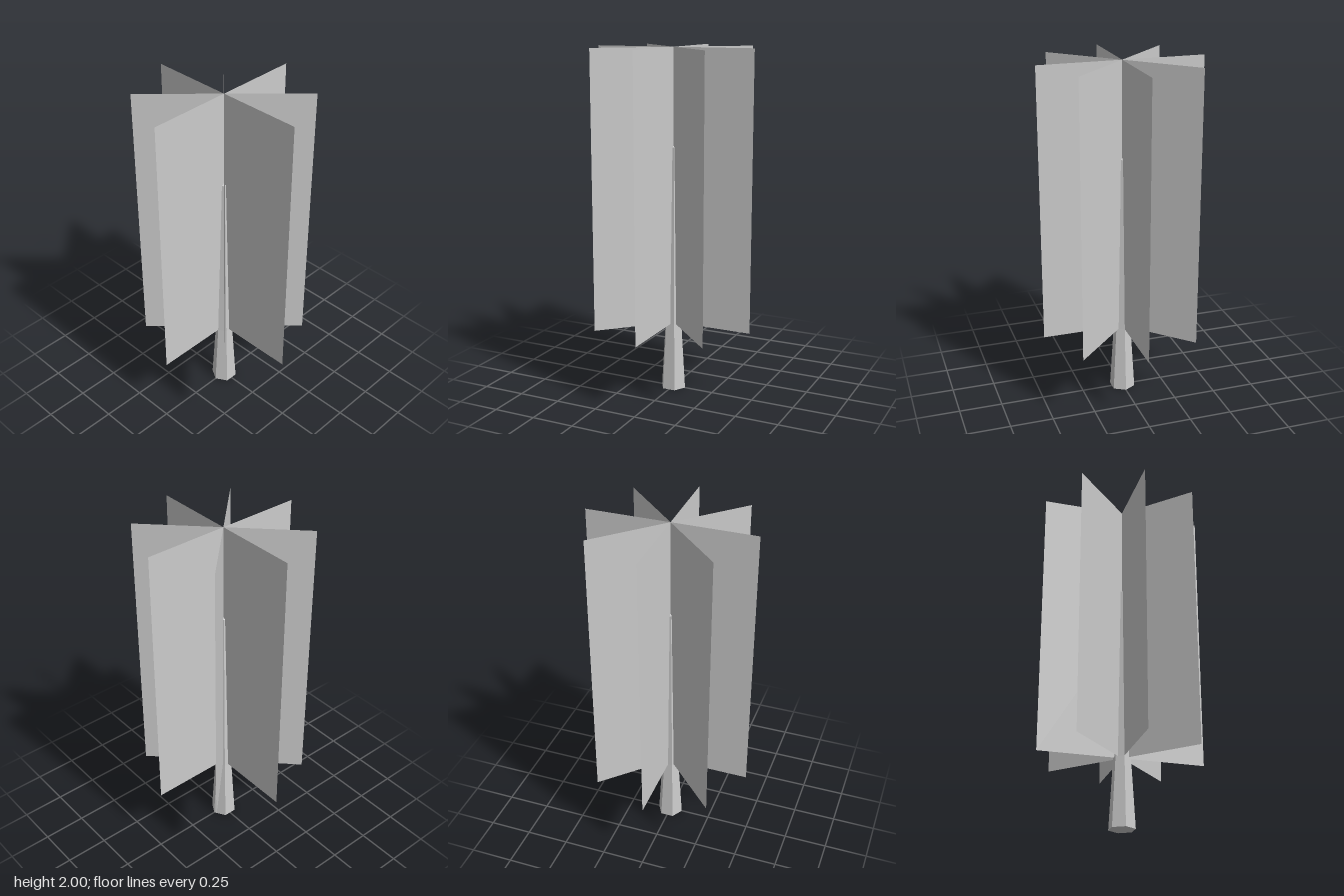
import * as THREE from 'three';

export function createModel() {
  const model = new THREE.Group();
  model.name = 'tree';

  // Hexagonal trunk: closed at both ends, flaring towards the base
  const trunkProfile = [[0, 0], [0.076, 0], [0.051, 0.4], [0.017, 1.44], [0, 1.45]]
    .map(([r, y]) => new THREE.Vector2(r, y));
  const trunk = new THREE.Mesh(
    new THREE.LatheGeometry(trunkProfile, 6),
    new THREE.MeshStandardMaterial({ color: 0xcccccc, flatShading: true })
  );
  trunk.name = 'trunk';
  model.add(trunk);

  // Foliage: four upright cards crossing on the trunk axis
  const foliage = new THREE.Group();
  foliage.name = 'foliage';
  const cardGeometry = new THREE.PlaneGeometry(0.96, 1.6);
  const cardMaterial = new THREE.MeshStandardMaterial({ color: 0xcccccc, side: THREE.DoubleSide });
  for (let i = 0; i < 4; i++) {
    const card = new THREE.Mesh(cardGeometry, cardMaterial);
    card.name = `foliageCard${i + 1}`;
    card.position.y = 1.2;
    card.rotation.y = (i * Math.PI) / 4;
    foliage.add(card);
  }
  model.add(foliage);

  return model;
}
